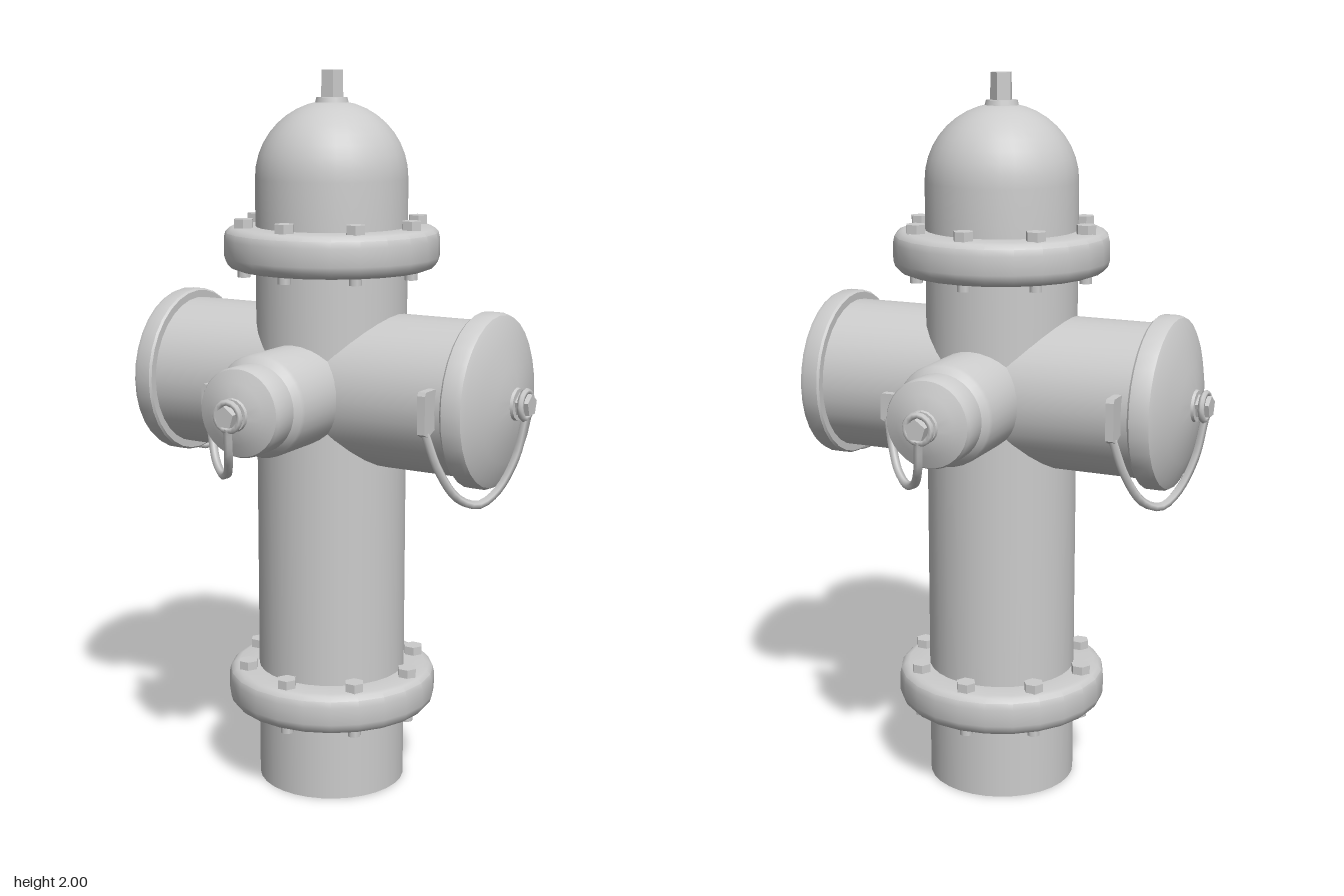
import * as THREE from 'three';
import { toCreasedNormals } from 'three/addons/utils/BufferGeometryUtils.js';

const material = new THREE.MeshStandardMaterial({ color: 0xcccccc, side: THREE.DoubleSide });

function add(parent, name, geometry) {
  const mesh = new THREE.Mesh(geometry, material);
  mesh.name = name;
  parent.add(mesh);
  return mesh;
}

// Turned part from [radius, height] pairs, rounded surfaces smooth and corners crisp
function turned(profile, sides = 32) {
  const points = profile.map(([r, h]) => new THREE.Vector2(r, h));
  return toCreasedNormals(new THREE.LatheGeometry(points, sides), 0.6);
}

// Five-sided operating nut standing on a small collar
function nut(parent, name, base, top) {
  const group = new THREE.Group();
  group.name = name;
  const height = top - base + 0.02;
  const stem = new THREE.CylinderGeometry(0.03, 0.032, height, 5, 1, false, Math.PI).toNonIndexed();
  stem.computeVertexNormals();
  add(group, 'nutStem', stem).position.y = top - height / 2;
  add(group, 'nutCollar', new THREE.CylinderGeometry(0.042, 0.046, 0.016, 16)).position.y = base;
  parent.add(group);
}

// Bolted flange ring with eight hexagonal bolts above and nuts below
function flange(parent, name, y) {
  const group = new THREE.Group();
  group.name = name;
  group.position.y = y;
  add(group, 'flangeRing', turned([
    [0.2, 0], [0.262, 0], [0.279, 0.006], [0.29, 0.018], [0.295, 0.034],
    [0.295, 0.082], [0.291, 0.1], [0.28, 0.111], [0.268, 0.115], [0.2, 0.115],
  ], 24));
  for (let i = 0; i < 8; i++) {
    const a = (i * Math.PI) / 4;
    const head = add(group, 'bolt', new THREE.CylinderGeometry(0.028, 0.028, 0.032, 6).toNonIndexed());
    head.geometry.computeVertexNormals();
    head.position.set(0.245 * Math.sin(a), 0.123, 0.245 * Math.cos(a));
    head.rotation.y = Math.PI / 2;
    const tail = add(group, 'boltEnd', new THREE.CylinderGeometry(0.018, 0.018, 0.03, 8));
    tail.position.set(0.245 * Math.sin(a), -0.003, 0.245 * Math.cos(a));
  }
  parent.add(group);
}

// Outlet pointing along +z, with cap, nut, side lug and hanging retaining strap
function outlet(parent, name, angle, spec) {
  const group = new THREE.Group();
  group.name = name;
  group.position.y = 1.147;
  group.rotation.y = angle;

  const axial = new THREE.Group();
  axial.name = 'outletCap';
  axial.rotation.x = Math.PI / 2;
  add(axial, 'outletBarrel', turned(spec.profile));
  nut(axial, 'capNut', spec.capEnd, spec.nutEnd);
  group.add(axial);

  const loop = add(group, 'strapRing', new THREE.TorusGeometry(0.036, 0.009, 6, 16));
  loop.position.z = spec.strap[0][2];

  const { inner, outer, h, z } = spec.lug;
  const outline = new THREE.Shape([
    [-inner, h], [-outer + 0.005, h], [-outer, h - 0.01], [-outer, -h + 0.01],
    [-outer + 0.02, -h], [-inner, -h * 0.6],
  ].map(([x, y]) => new THREE.Vector2(x, y)));
  const lug = new THREE.ExtrudeGeometry(outline, { depth: 0.022, bevelEnabled: false });
  add(group, 'strapLug', lug).position.z = z - 0.011;

  const curve = new THREE.CatmullRomCurve3(spec.strap.map((p) => new THREE.Vector3(...p)));
  add(group, 'strap', new THREE.TubeGeometry(curve, 24, 0.012, 5));
  parent.add(group);
}

const largeOutlet = {
  profile: [
    [0.21, 0], [0.21, 0.45], [0.23, 0.45], [0.235, 0.456], [0.235, 0.495], [0.229, 0.508],
    [0.214, 0.516], [0.16, 0.535], [0.1, 0.55], [0.05, 0.56], [0, 0.562],
  ],
  capEnd: 0.56,
  nutEnd: 0.605,
  lug: { inner: 0.185, outer: 0.262, h: 0.06, z: 0.415 },
  strap: [
    [0, -0.03, 0.587], [-0.015, -0.14, 0.567], [-0.055, -0.225, 0.535], [-0.11, -0.255, 0.507],
    [-0.165, -0.23, 0.475], [-0.212, -0.15, 0.443], [-0.24, -0.05, 0.417],
  ],
};

const smallOutlet = {
  profile: [
    [0.137, 0], [0.137, 0.366], [0.133, 0.376], [0.118, 0.392], [0.118, 0.462],
    [0.114, 0.469], [0.08, 0.482], [0.045, 0.493], [0, 0.495],
  ],
  capEnd: 0.493,
  nutEnd: 0.537,
  lug: { inner: 0.12, outer: 0.19, h: 0.04, z: 0.348 },
  strap: [
    [0, -0.03, 0.518], [-0.012, -0.11, 0.497], [-0.045, -0.165, 0.455], [-0.085, -0.18, 0.422],
    [-0.125, -0.157, 0.39], [-0.155, -0.1, 0.363], [-0.172, -0.03, 0.349],
  ],
};

export function createModel() {
  const model = new THREE.Group();
  model.name = 'fireHydrant';

  // Open-bottomed barrel
  add(model, 'barrel', new THREE.CylinderGeometry(0.208, 0.208, 1.5, 32, 1, true)).position.y = 0.75;

  // Domed bonnet
  const bonnet = [[0.208, 1.5]];
  for (let i = 0; i <= 10; i++) {
    const a = (i / 10) * (Math.PI / 2);
    bonnet.push([0.208 * Math.cos(a), 1.714 + 0.206 * Math.sin(a)]);
  }
  add(model, 'bonnet', turned(bonnet));
  nut(model, 'operatingNut', 1.92, 2);

  flange(model, 'lowerFlange', 0.22);
  flange(model, 'upperFlange', 1.47);

  outlet(model, 'frontOutlet', 0, smallOutlet);
  outlet(model, 'backOutlet', Math.PI, smallOutlet);
  outlet(model, 'leftOutlet', Math.PI / 2, largeOutlet);
  outlet(model, 'rightOutlet', -Math.PI / 2, largeOutlet);

  return model;
}
